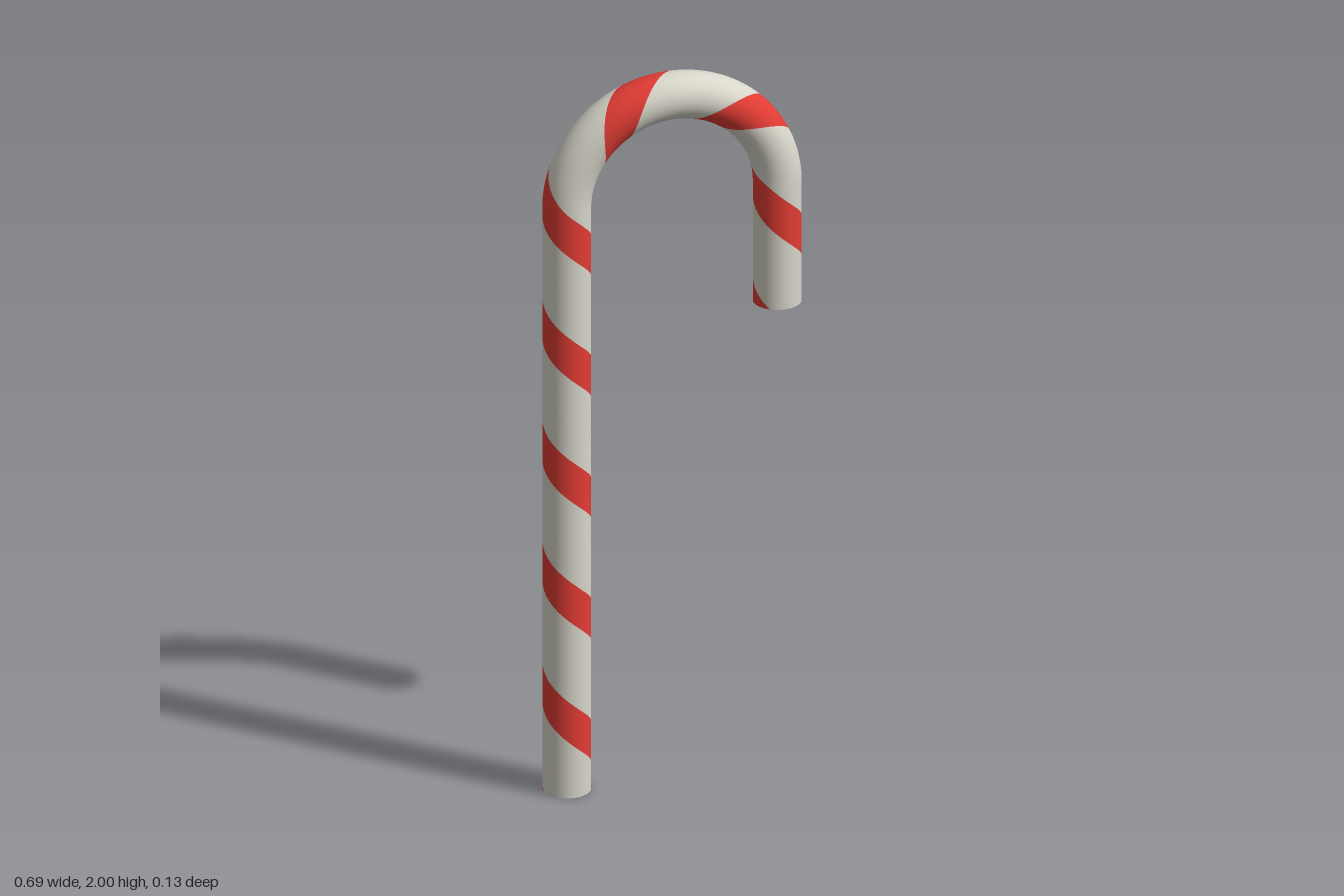
import * as THREE from 'three';

const TUBE = 0.063;        // cane thickness (radius)
const BEND = 0.283;        // radius of the hook's centre line
const LEG = 1.654;         // long straight part
const TIP = 0.339;         // short straight part after the hook
const ARC = Math.PI * BEND;
const LENGTH = LEG + ARC + TIP;
const PITCH = 0.346;       // length of one stripe turn
const PHASE = 0.205;       // height of the first stripe on the front
const ROWS = 360, SIDES = 48, RED_SIDES = 16;

const Z = new THREE.Vector3(0, 0, 1);

// Centre line point and direction to the inside of the hook at length s
function frame(s) {
  const a = THREE.MathUtils.clamp((s - LEG) / BEND, 0, Math.PI);
  let y = LEG + BEND * Math.sin(a);
  if (s < LEG) y = s;
  if (s > LEG + ARC) y = LEG - (s - LEG - ARC);
  return {
    point: new THREE.Vector3(-BEND * Math.cos(a), y, 0),
    inner: new THREE.Vector3(Math.cos(a), -Math.sin(a), 0),
  };
}

// Columns follow the twist, so each colour is one winding band
function outward(s, column, inner) {
  const phi = (2 * Math.PI * (PHASE - s)) / PITCH
    + (2 * Math.PI * (column - RED_SIDES / 2)) / SIDES;
  return Z.clone().multiplyScalar(Math.cos(phi)).addScaledVector(inner, Math.sin(phi));
}

// Winding band of the cane wall between two columns
function bandGeometry(from, to) {
  const pos = [], nor = [], index = [];
  const width = to - from + 1;
  for (let i = 0; i <= ROWS; i++) {
    const s = (LENGTH * i) / ROWS;
    const { point, inner } = frame(s);
    for (let j = from; j <= to; j++) {
      const n = outward(s, j, inner);
      nor.push(n.x, n.y, n.z);
      pos.push(...point.clone().addScaledVector(n, TUBE).toArray());
      if (i < ROWS && j < to) {
        const a = i * width + j - from;
        index.push(a, a + 1, a + width + 1, a, a + width + 1, a + width);
      }
    }
  }
  const g = new THREE.BufferGeometry();
  g.setAttribute('position', new THREE.Float32BufferAttribute(pos, 3));
  g.setAttribute('normal', new THREE.Float32BufferAttribute(nor, 3));
  g.setIndex(index);
  return g;
}

// Flat sector closing one end; both ends face down
function capGeometry(s, from, to) {
  const { point, inner } = frame(s);
  const pos = [...point.toArray()], index = [];
  for (let j = from; j <= to; j++) {
    pos.push(...point.clone().addScaledVector(outward(s, j, inner), TUBE).toArray());
    const k = j - from + 1;
    if (j < to) index.push(0, ...(s === 0 ? [k + 1, k] : [k, k + 1]));
  }
  const g = new THREE.BufferGeometry();
  g.setAttribute('position', new THREE.Float32BufferAttribute(pos, 3));
  g.setIndex(index);
  g.computeVertexNormals();
  return g;
}

export function createModel() {
  const white = new THREE.MeshStandardMaterial({ color: 0xd8d6ca });
  white.name = 'candy white';
  const red = new THREE.MeshStandardMaterial({ color: 0xe23c34 });
  red.name = 'candy red';

  const cane = new THREE.Group();
  cane.name = 'candyCane';
  const bands = [
    ['redStripe', 0, RED_SIDES, red],
    ['whiteBody', RED_SIDES, SIDES, white],
  ];
  for (const [name, from, to, material] of bands) {
    const add = (part, geometry) => {
      const mesh = new THREE.Mesh(geometry, material);
      mesh.name = part;
      cane.add(mesh);
    };
    add(name, bandGeometry(from, to));
    add(name + 'BaseEnd', capGeometry(0, from, to));
    add(name + 'HookEnd', capGeometry(LENGTH, from, to));
  }
  return cane;
}
